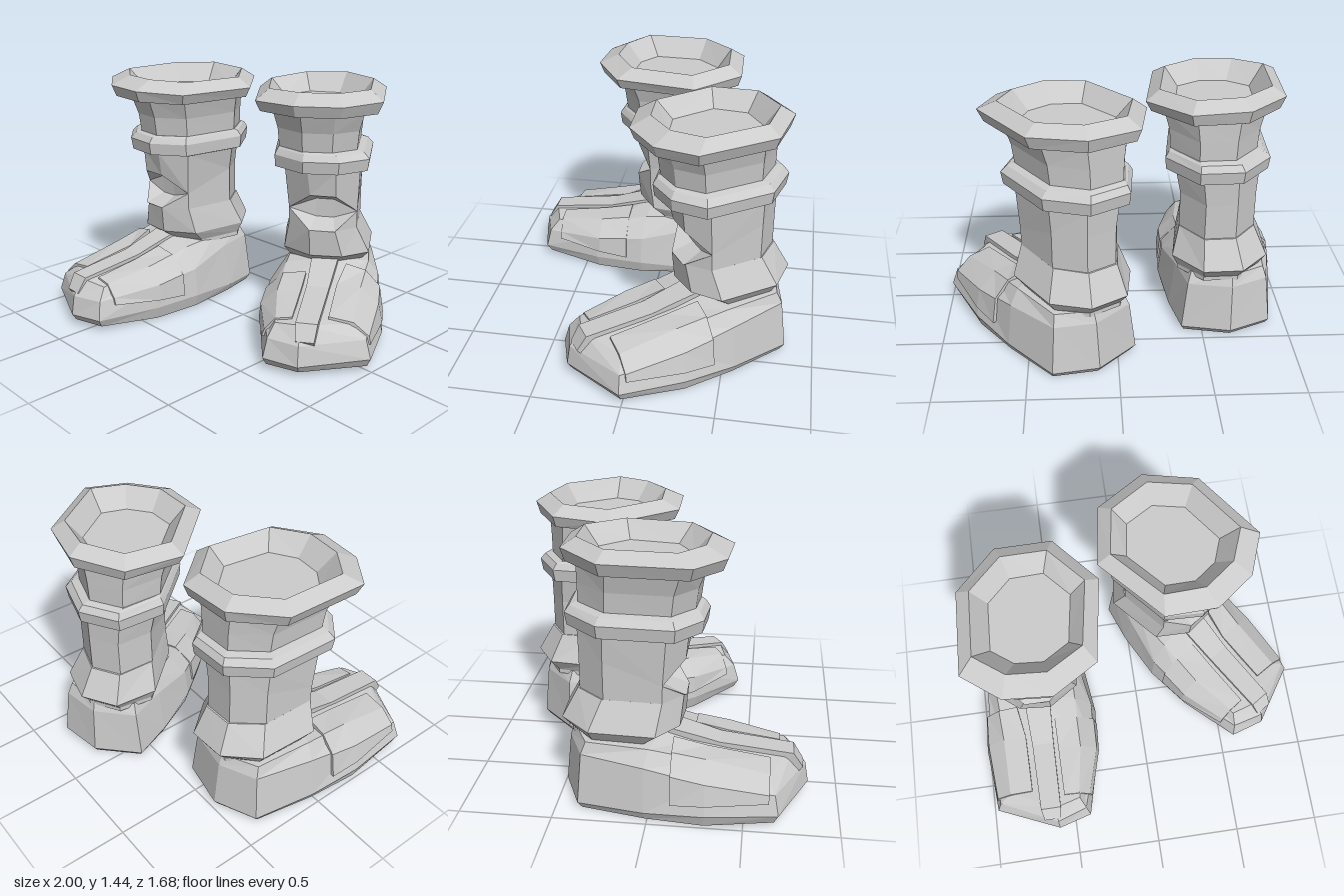
import * as THREE from 'three';

const material = new THREE.MeshStandardMaterial({ color: 0xcccccc, flatShading: true, side: THREE.DoubleSide });

// Closed faceted loft through rings of [x, y, z]; side = -1 mirrors it in x.
function loft(name, rings, side) {
  const tris = [];
  const add = (a, b, c) => tris.push([a, b, c].map(p => new THREE.Vector3(p[0] * side, p[1], p[2])));
  const n = rings[0].length;
  for (let r = 0; r + 1 < rings.length; r++) {
    for (let i = 0; i < n; i++) {
      const j = (i + 1) % n, lo = rings[r], hi = rings[r + 1];
      add(lo[i], lo[j], hi[j]);
      add(lo[i], hi[j], hi[i]);
    }
  }
  const cap = (ring, flip) => {
    const c = [0, 1, 2].map(k => ring.reduce((s, p) => s + p[k], 0) / n);
    for (let i = 0; i < n; i++) {
      const j = (i + 1) % n;
      if (flip) add(c, ring[j], ring[i]); else add(c, ring[i], ring[j]);
    }
  };
  cap(rings[0], true);
  cap(rings[rings.length - 1], false);

  // Drop empty triangles and turn all faces outwards
  const cross = new THREE.Vector3();
  let volume = 0;
  const solid = tris.filter(([a, b, c]) => {
    volume += a.dot(cross.crossVectors(b, c));
    return cross.crossVectors(b.clone().sub(a), c.clone().sub(a)).length() > 1e-7;
  });
  const points = solid.flatMap(([a, b, c]) => (volume < 0 ? [a, c, b] : [a, b, c]));
  const geometry = new THREE.BufferGeometry().setFromPoints(points);
  geometry.computeVertexNormals();
  const mesh = new THREE.Mesh(geometry, material);
  mesh.name = name;
  return mesh;
}

// Uneven octagon shared by the shaft, band and cuff
const OCTAGON = [[-0.36, -0.20], [-0.14, -0.42], [0.17, -0.43], [0.39, -0.18],
  [0.32, 0.28], [0.08, 0.43], [-0.18, 0.41], [-0.38, 0.26]];
const TILT = [0.01, 0.015, 0, -0.015, -0.01, 0, 0, 0.01];

// Octagon ring at height y, spanning x0..x1 and z0..z1
function ring(y, x0, x1, z0, z1, tilt = 0) {
  const cx = (x0 + x1) / 2, cz = (z0 + z1) / 2;
  return OCTAGON.map(([x, z], i) =>
    [cx + x * (x1 - x0) / 0.77, y + TILT[i] * tilt, cz + z * (z1 - z0) / 0.86]);
}

// Ring at the diamond cut-out: front corners at depth z and narrowed, side corners meet at one height
function notchRing(y, z, narrow) {
  return ring(y, -0.81, -0.37, -0.40, 0.18).map((p, i) => {
    if (i === 5 || i === 6) return [-0.615 + (p[0] + 0.615) * narrow, y, z];
    return i === 4 || i === 7 ? [p[0], 0.71, p[2]] : p;
  });
}

// Foot outline, from the toe tip round the inner side, heel and outer side
const FOOT_WIDE = [[-0.60, 0.075, 0.84], [-0.40, 0.08, 0.785], [-0.31, 0.08, 0.42], [-0.285, 0.08, 0.12],
  [-0.325, 0.05, -0.20], [-0.38, 0.04, -0.43], [-0.66, 0.04, -0.485], [-0.90, 0.04, -0.38],
  [-0.97, 0.05, -0.02], [-1.00, 0.07, 0.30], [-0.97, 0.085, 0.68]];
const FOOT_SHOULDER = [[-0.60, 0.19, 0.82], [-0.42, 0.19, 0.76], [-0.32, 0.22, 0.42], [-0.305, 0.25, 0.12],
  [-0.36, 0.31, -0.17], [-0.41, 0.32, -0.41], [-0.66, 0.32, -0.455], [-0.87, 0.32, -0.36],
  [-0.94, 0.30, -0.02], [-0.96, 0.24, 0.30], [-0.94, 0.19, 0.66]];
const FOOT_TOP = [[-0.60, 0.28, 0.75], [-0.45, 0.26, 0.705], [-0.40, 0.315, 0.32], [-0.40, 0.37, 0.10],
  [-0.40, 0.385, -0.12], [-0.43, 0.385, -0.38], [-0.66, 0.385, -0.43], [-0.85, 0.385, -0.335],
  [-0.88, 0.38, 0.00], [-0.86, 0.32, 0.30], [-0.86, 0.255, 0.62]];

function makeFoot(side) {
  const sole = FOOT_WIDE.map(([x, , z]) =>
    [-0.64 + (x + 0.64) * 0.94, z > 0.6 ? 0.035 : 0.005, 0.15 + (z - 0.15) * 0.96]);
  const ridge = FOOT_TOP.map(p => (p[2] > 0.2 ? [-0.62, 0.33, 0.32] : [-0.62, 0.41, 0.08]));
  return loft('foot', [sole, FOOT_WIDE, FOOT_SHOULDER, FOOT_TOP, ridge], side);
}

// Raised panel: each station is z plus surface points [x, y] from strap over the shoulder to the side
function makePanel(name, stations, out, side) {
  const rings = stations.map(([z, a, b, s, c]) => [
    [a[0], a[1] + 0.014, z], [b[0] + out * 0.006, b[1] + 0.014, z],
    [s[0] + out * 0.013, s[1] + 0.006, z], [c[0] + out * 0.013, c[1], z],
    [c[0] - out * 0.05, c[1], z], [b[0] - out * 0.04, b[1] - 0.06, z], [a[0], a[1] - 0.05, z]]);
  return loft(name, rings, side);
}

function makeBoot(name, side) {
  const boot = new THREE.Group();
  boot.name = name;
  boot.add(makeFoot(side));

  // Shaft with flared ankle and diamond cut-out at the front
  boot.add(loft('shaft', [
    ring(0.36, -0.84, -0.36, -0.44, 0.07),
    ring(0.385, -0.84, -0.36, -0.44, 0.07),
    ring(0.45, -0.885, -0.33, -0.495, 0.165),
    ring(0.61, -0.81, -0.37, -0.41, 0.18),
    notchRing(0.61, 0.18, 1),
    notchRing(0.66, 0.06, 0.7),
    notchRing(0.77, 0.06, 0.7),
    notchRing(0.82, 0.175, 1),
    ring(0.97, -0.82, -0.34, -0.405, 0.205),
    ring(1.09, -0.80, -0.31, -0.40, 0.235),
    ring(1.20, -0.81, -0.30, -0.40, 0.25),
    ring(1.31, -0.84, -0.27, -0.40, 0.29)], side));

  // Band round the upper shaft
  boot.add(loft('band', [
    ring(0.96, -0.82, -0.33, -0.41, 0.21),
    ring(0.975, -0.865, -0.285, -0.455, 0.275),
    ring(1.045, -0.875, -0.28, -0.465, 0.285),
    ring(1.08, -0.84, -0.30, -0.44, 0.26),
    ring(1.09, -0.80, -0.31, -0.41, 0.24)], side));

  // Wide cuff sloping up to a shallow opening
  boot.add(loft('cuff', [
    ring(1.30, -0.84, -0.27, -0.40, 0.29),
    ring(1.315, -0.915, -0.20, -0.45, 0.375, 0.5),
    ring(1.38, -0.945, -0.17, -0.47, 0.40, 1),
    ring(1.435, -0.865, -0.245, -0.39, 0.285, 0.7),
    ring(1.33, -0.78, -0.33, -0.31, 0.19)], side));

  // Centre strap from toe to ankle: z, top height, half width
  const strap = [[0.805, 0.21, 0.05], [0.752, 0.295, 0.06], [0.36, 0.34, 0.065],
    [0.26, 0.37, 0.07], [0.06, 0.425, 0.08]];
  boot.add(loft('strap', strap.map(([z, y, w]) => [
    [-0.63 - w, y, z], [-0.63 + w, y, z], [-0.63 + w, y - 0.05, z - 0.04], [-0.63 - w, y - 0.05, z - 0.04]]), side));

  // Panels on both sides of the strap
  boot.add(makePanel('outerPanel', [
    [0.63, [-0.73, 0.275], [-0.86, 0.255], [-0.94, 0.19], [-0.95, 0.15]],
    [0.30, [-0.73, 0.325], [-0.86, 0.32], [-0.96, 0.24], [-0.985, 0.13]],
    [0.12, [-0.76, 0.385], [-0.87, 0.355], [-0.95, 0.27], [-0.975, 0.12]]], -1, side));
  boot.add(makePanel('innerPanel', [
    [0.68, [-0.54, 0.275], [-0.455, 0.26], [-0.40, 0.195], [-0.385, 0.16]],
    [0.40, [-0.54, 0.315], [-0.41, 0.305], [-0.32, 0.22], [-0.31, 0.13]],
    [0.22, [-0.54, 0.355], [-0.41, 0.335], [-0.315, 0.24], [-0.30, 0.11]]], 1, side));
  return boot;
}

export function createModel() {
  const model = new THREE.Group();
  model.name = 'boots';
  // The left boot is mirrored and turned outwards
  const leftBoot = makeBoot('leftBoot', -1);
  leftBoot.rotation.y = 0.576;
  leftBoot.position.set(-0.185, 0, -0.03);
  model.add(makeBoot('rightBoot', 1), leftBoot);
  return model;
}
